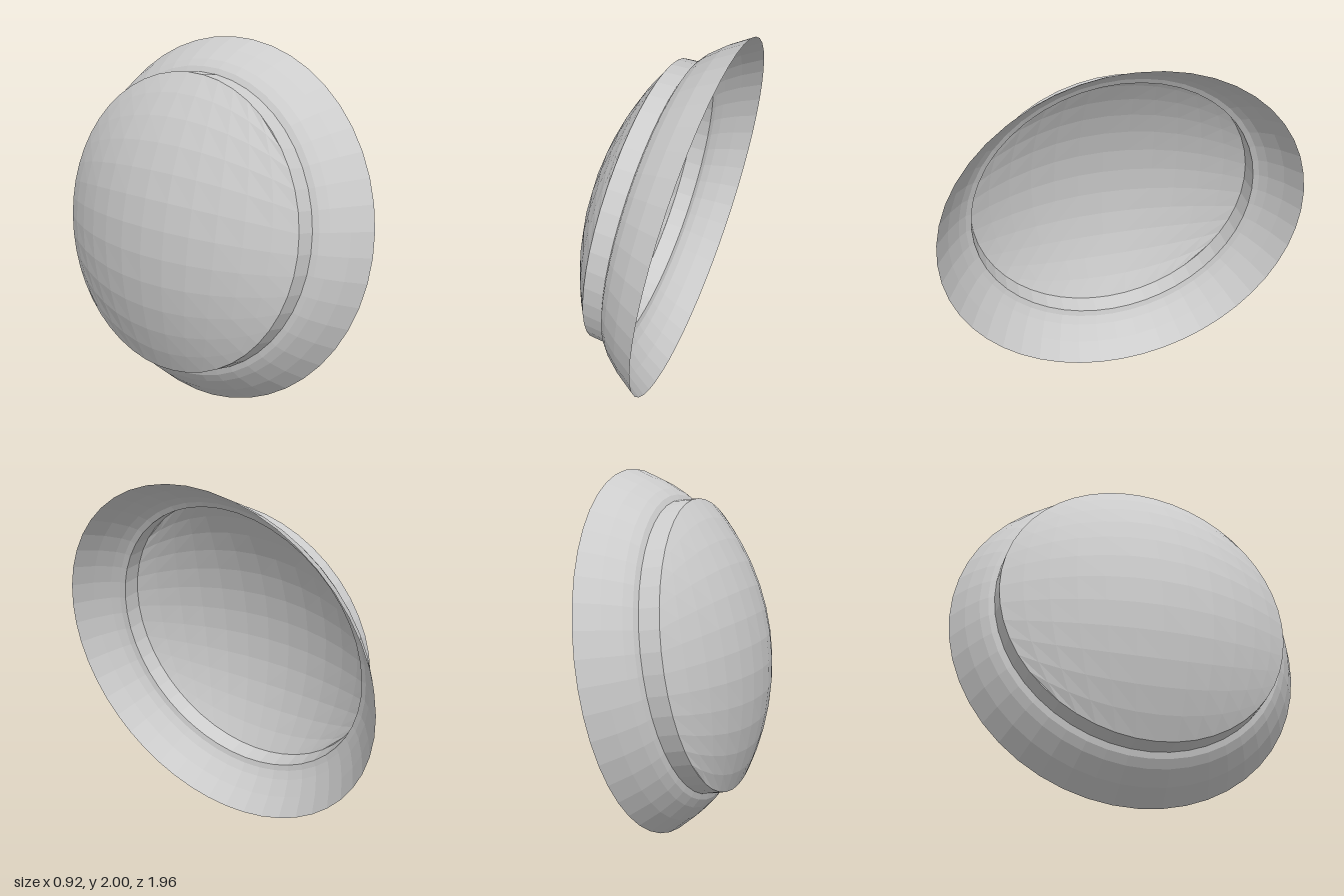
import * as THREE from 'three';

const SEGMENTS = 48;
const CROWN_RADIUS = 0.8;
const CROWN_BASE = 0.342; // height of the crown's edge above the rim
const CROWN_RISE = 0.24;

// Shallow spherical cap made from a square grid wrapped onto a disc
function crownGeometry() {
  const ball = (CROWN_RADIUS ** 2 + CROWN_RISE ** 2) / (2 * CROWN_RISE);
  const centre = CROWN_BASE + CROWN_RISE - ball;
  const geometry = new THREE.PlaneGeometry(2, 2, SEGMENTS / 4, SEGMENTS / 4);
  const p = geometry.attributes.position;
  const warp = (t) => Math.SQRT2 * Math.sin(t * Math.PI / 4);
  for (let i = 0; i < p.count; i++) {
    const u = warp(p.getX(i));
    const v = warp(p.getY(i));
    const x = CROWN_RADIUS * u * Math.sqrt(1 - v * v / 2);
    const z = -CROWN_RADIUS * v * Math.sqrt(1 - u * u / 2);
    p.setXYZ(i, x, centre + Math.sqrt(ball * ball - x * x - z * z), z);
  }
  geometry.computeVertexNormals();
  return geometry;
}

// Open ring turned from [radius, height] pairs, listed upward
function ringGeometry(profile) {
  return new THREE.LatheGeometry(profile.map(([r, h]) => new THREE.Vector2(r, h)), SEGMENTS);
}

export function createModel() {
  const grey = new THREE.MeshStandardMaterial({ color: 0xcccccc, flatShading: true, side: THREE.DoubleSide });
  grey.name = 'plain grey';

  const hat = new THREE.Group();
  hat.name = 'hat';
  const add = (name, geometry) => {
    const mesh = new THREE.Mesh(geometry, grey);
    mesh.name = name;
    hat.add(mesh);
  };

  // Flared brim, band and domed crown, all around the local y axis
  add('brim', ringGeometry([[1.012, 0], [0.943, 0.11], [0.878, 0.19], [0.838, 0.225], [0.807, 0.238]]));
  add('band', ringGeometry([[0.807, 0.238], [CROWN_RADIUS, CROWN_BASE]]));
  add('crown', crownGeometry());

  // Lean the hat on its side so the opening faces its left, a little down and back
  const axis = new THREE.Vector3(-0.955, 0.153, 0.255).normalize();
  const across = new THREE.Vector3(0, 1, 0).addScaledVector(axis, -axis.y).normalize();
  const third = new THREE.Vector3().crossVectors(across, axis);
  hat.quaternion.setFromRotationMatrix(new THREE.Matrix4().makeBasis(across, axis, third));
  hat.position.set(0.157, 1, 0);

  const model = new THREE.Group();
  model.name = 'model';
  model.add(hat);
  return model;
}
